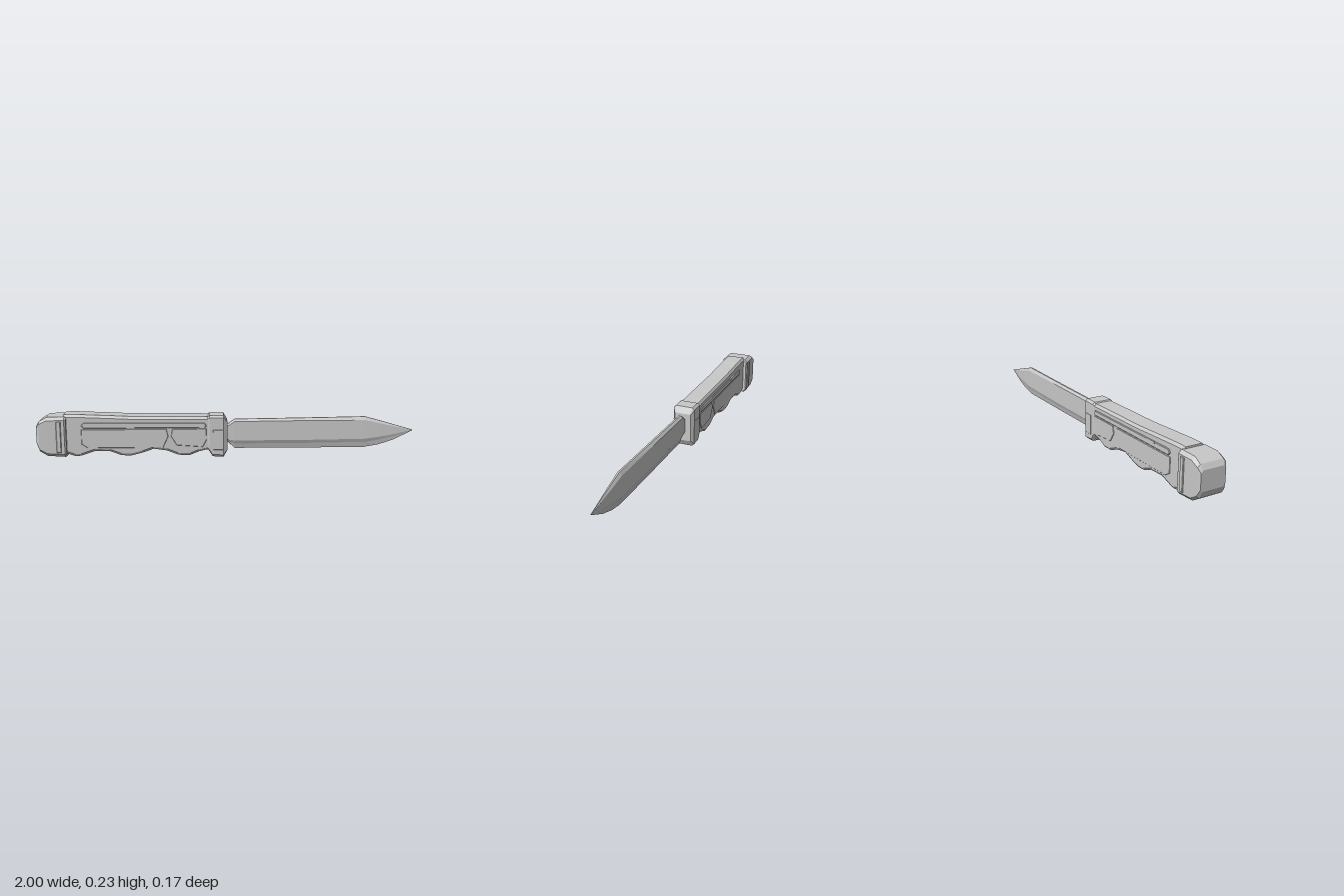
import * as THREE from 'three';

const steel = new THREE.MeshStandardMaterial({ color: 0xc8c8c8 });
steel.name = 'grey steel';

function part(name, geometry) {
  const mesh = new THREE.Mesh(geometry, steel);
  mesh.name = name;
  return mesh;
}

// Skins cross-sections along x. Each station is [x, half], where half lists
// [y, z] from top to bottom on the +z side; the other side is mirrored.
function loft(name, stations) {
  const rings = stations.map(([x, half]) => [
    ...half.map(([y, z]) => [x, y, z]),
    ...half.slice().reverse().map(([y, z]) => [x, y, -z]),
  ]);
  const pos = [];
  const tri = (a, b, c) => pos.push(...a, ...b, ...c);
  const n = rings[0].length;
  for (let i = 0; i < rings.length - 1; i++) {
    for (let j = 0; j < n; j++) {
      const k = (j + 1) % n;
      const [r, s] = [rings[i], rings[i + 1]];
      tri(r[j], r[k], s[k]);
      tri(r[j], s[k], s[j]);
    }
  }
  const first = rings[0], last = rings[rings.length - 1];
  for (let j = 1; j < n - 1; j++) {
    tri(last[0], last[j], last[j + 1]);
    tri(first[0], first[j + 1], first[j]);
  }
  const g = new THREE.BufferGeometry();
  g.setAttribute('position', new THREE.Float32BufferAttribute(pos, 3));
  g.computeVertexNormals();
  return part(name, g);
}

// Rectangle section with chamfered corners (half outline)
const block = (top, bottom, z, c) => [
  [top, z - c], [top - c, z], [bottom + c, z], [bottom, z - c],
];

// Bevelled plate standing out of both flanks of the handle
function plates(name, points, base, height, bevel) {
  const shape = new THREE.Shape(points.map(([x, y]) => new THREE.Vector2(x, y)));
  const g = new THREE.ExtrudeGeometry(shape, {
    depth: height - bevel, bevelEnabled: true, bevelSegments: 1,
    bevelThickness: bevel, bevelSize: bevel, bevelOffset: -bevel,
  });
  g.translate(0, 0, base);
  const pair = new THREE.Group();
  pair.name = name;
  const front = part(name + 'Front', g);
  const back = part(name + 'Back', g.clone().rotateY(Math.PI).scale(1, 1, 1));
  // turn the copy's outline back to the same x positions
  const p = back.geometry.attributes.position;
  for (let i = 0; i < p.count; i++) p.setX(i, -p.getX(i));
  const a = p.array;
  for (let i = 0; i < a.length; i += 9) {
    for (let k = 0; k < 3; k++) [a[i + 3 + k], a[i + 6 + k]] = [a[i + 6 + k], a[i + 3 + k]];
  }
  back.geometry.computeVertexNormals();
  pair.add(front, back);
  return pair;
}

export function createModel() {
  const model = new THREE.Group();
  model.name = 'knife';

  // Handle with finger grooves underneath: [x, top, bottom]
  const grip = [
    [-0.86, 0.232, 0.03], [-0.84, 0.233, 0.022], [-0.8, 0.233, 0.008], [-0.77, 0.232, 0.012],
    [-0.7, 0.229, 0.036], [-0.62, 0.226, 0.034], [-0.56, 0.223, 0.012], [-0.51, 0.221, 0.01],
    [-0.45, 0.22, 0.025], [-0.39, 0.22, 0.046], [-0.32, 0.22, 0.036], [-0.26, 0.219, 0.012],
    [-0.2, 0.219, 0.01], [-0.15, 0.218, 0.03], [-0.11, 0.217, 0.04], [-0.05, 0.216, 0.04],
  ];
  model.add(loft('handle', grip.map(([x, top, bottom]) => [x, [
    [top, 0.046], [top - 0.014, 0.056], [bottom + 0.012, 0.056], [bottom, 0.048],
  ]])));

  // Pommel cap with its angled end
  model.add(loft('pommel', [
    [-1, block(0.175, 0.075, 0.068, 0.012)],
    [-0.985, block(0.2, 0.04, 0.077, 0.014)],
    [-0.945, block(0.222, 0.015, 0.078, 0.016)],
    [-0.853, block(0.223, 0.009, 0.078, 0.016)],
    [-0.845, block(0.22, 0.012, 0.072, 0.016)],
  ]));
  model.add(plates('pommelRidge', [
    [-0.895, 0.034], [-0.87, 0.034], [-0.87, 0.2], [-0.895, 0.2],
  ], 0.074, 0.009, 0.003));

  // Guard block at the mouth of the handle
  model.add(loft('guard', [
    [-0.105, block(0.214, 0.045, 0.055, 0.008)],
    [-0.095, block(0.222, 0.03, 0.059, 0.01)],
    [-0.078, block(0.223, 0.002, 0.059, 0.012)],
    [-0.02, block(0.223, 0, 0.059, 0.012)],
    [0, block(0.19, 0.034, 0.045, 0.003)],
  ]));
  model.add(plates('guardPlate', [
    [-0.075, 0.04], [-0.02, 0.04], [-0.02, 0.147], [-0.075, 0.147],
  ], 0.057, 0.004, 0.001));

  // Long rail and grip panels on each flank
  model.add(plates('rail', [
    [-0.755, 0.16], [-0.12, 0.16], [-0.11, 0.168], [-0.12, 0.186], [-0.755, 0.19], [-0.768, 0.175],
  ], 0.053, 0.009, 0.003));
  model.add(plates('rearPanel', [
    [-0.768, 0.075], [-0.735, 0.054], [-0.34, 0.054], [-0.312, 0.115], [-0.322, 0.154], [-0.768, 0.154],
  ], 0.053, 0.006, 0.002));
  model.add(plates('frontPanel', [
    [-0.298, 0.115], [-0.268, 0.066], [-0.13, 0.056], [-0.11, 0.095], [-0.11, 0.154], [-0.29, 0.154],
  ], 0.053, 0.006, 0.002));

  // Thumb stud on the back rail
  const stud = part('thumbStud', new THREE.BoxGeometry(0.06, 0.014, 0.006));
  stud.position.set(-0.62, 0.183, -0.061);
  model.add(stud);

  // Blade with a blunt spine and a ground lower edge:
  // [x, top, upper shoulder, lower shoulder, grind line, edge, half thickness]
  const blade = [
    [-0.02, 0.165, 0.155, 0.09, 0.08, 0.075, 0.014],
    [0.005, 0.17, 0.16, 0.085, 0.075, 0.07, 0.014],
    [0.04, 0.195, 0.183, 0.08, 0.062, 0.036, 0.016],
    [0.4, 0.199, 0.186, 0.08, 0.062, 0.035, 0.016],
    [0.74, 0.204, 0.186, 0.084, 0.065, 0.036, 0.015],
    [0.82, 0.182, 0.168, 0.094, 0.077, 0.05, 0.012],
    [0.9, 0.159, 0.15, 0.107, 0.095, 0.076, 0.007],
    [1, 0.13, 0.129, 0.128, 0.127, 0.126, 0.001],
  ];
  model.add(loft('blade', blade.map(([x, top, up, low, grind, edge, t]) => [x, [
    [top, t * 0.3], [up, t], [low, t], [grind, t * 0.5], [edge, t * 0.04],
  ]])));

  return model;
}
